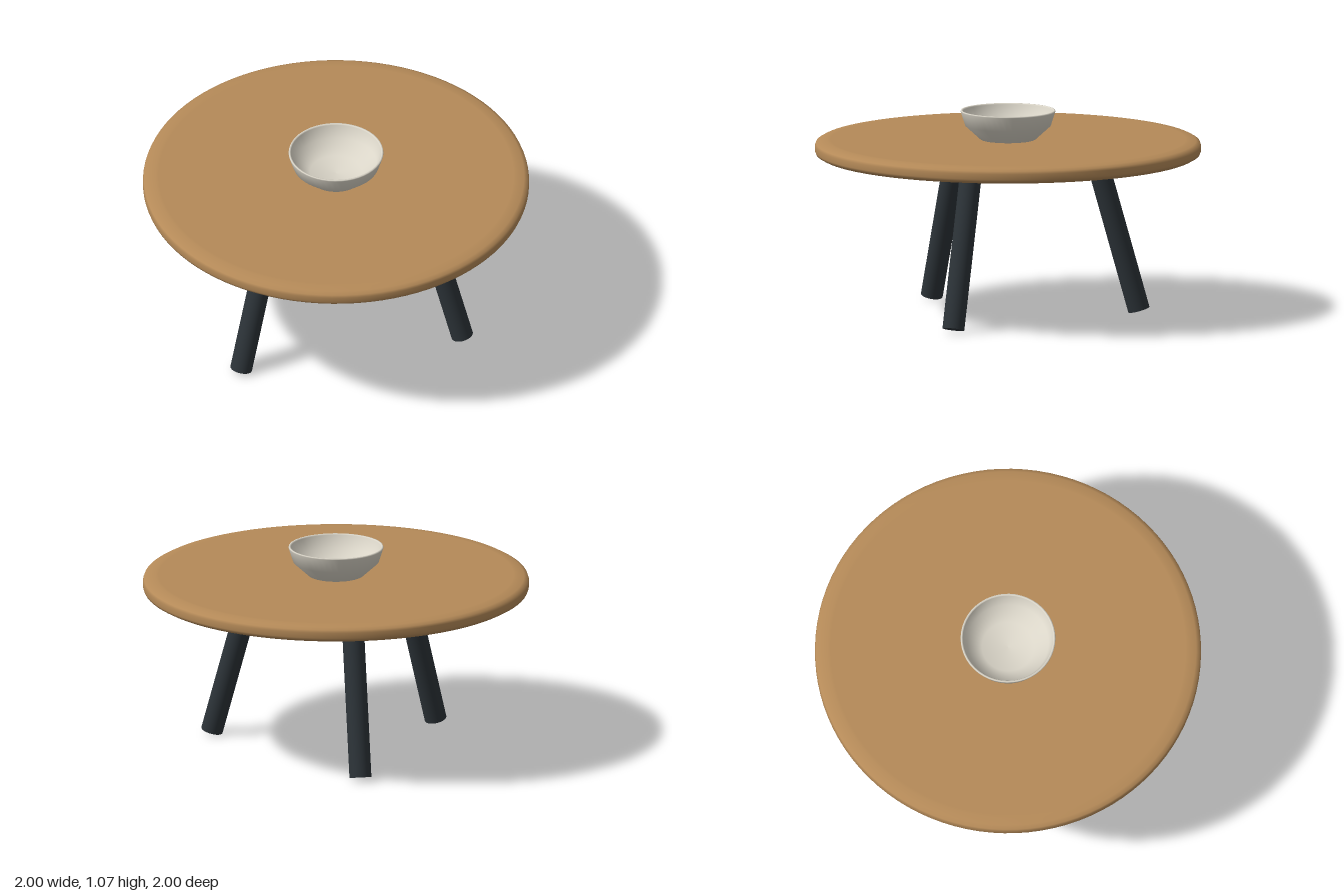
import * as THREE from 'three';

const wood = new THREE.MeshStandardMaterial({ color: 0xb58a58 });
const darkMetal = new THREE.MeshStandardMaterial({ color: 0x2c3338 });
const ceramic = new THREE.MeshStandardMaterial({ color: 0xdcd7ca, side: THREE.DoubleSide });

// Revolve a list of [radius, height] pairs around the y axis
function turned(name, profile, segments, material) {
  const points = profile.map(([r, y]) => new THREE.Vector2(r, y));
  const mesh = new THREE.Mesh(new THREE.LatheGeometry(points, segments), material);
  mesh.name = name;
  return mesh;
}

// Straight round bar with its ends square to its own axis
function bar(name, from, to, radius, material) {
  const dir = to.clone().sub(from);
  const mesh = new THREE.Mesh(new THREE.CylinderGeometry(radius, radius, dir.length(), 32), material);
  mesh.position.copy(from).add(to).multiplyScalar(0.5);
  mesh.quaternion.setFromUnitVectors(new THREE.Vector3(0, 1, 0), dir.normalize());
  mesh.name = name;
  return mesh;
}

export function createModel() {
  const table = new THREE.Group();
  table.name = 'table';

  // Round top with softened rim
  table.add(turned('tableTop', [
    [0, 0.828], [0.92, 0.828], [0.935, 0.828], [0.975, 0.834], [0.995, 0.845], [1, 0.858],
    [1, 0.886], [0.995, 0.9], [0.975, 0.911], [0.935, 0.917], [0.92, 0.917], [0, 0.917],
  ], 96, wood));

  // Three splayed legs, 120 degrees apart
  const legs = new THREE.Group();
  legs.name = 'legs';
  const up = new THREE.Vector3(0, 1, 0);
  ['leftLeg', 'rightBackLeg', 'rightFrontLeg'].forEach((name, i) => {
    const angle = (i * Math.PI * 2) / 3;
    const foot = new THREE.Vector3(0.681, 0.015, 0).applyAxisAngle(up, angle);
    const head = new THREE.Vector3(0.456, 0.825, 0).applyAxisAngle(up, angle);
    legs.add(bar(name, foot, head, 0.057, darkMetal));
  });
  table.add(legs);

  // Thin-walled bowl in the middle of the top
  table.add(turned('bowl', [
    [0, 0.917], [0.138, 0.917], [0.144, 0.919], [0.222, 0.99], [0.246, 1.064], [0.244, 1.07],
    [0.237, 1.07], [0.234, 1.064], [0.21, 1], [0.135, 0.94], [0, 0.932],
  ], 48, ceramic));

  return table;
}
